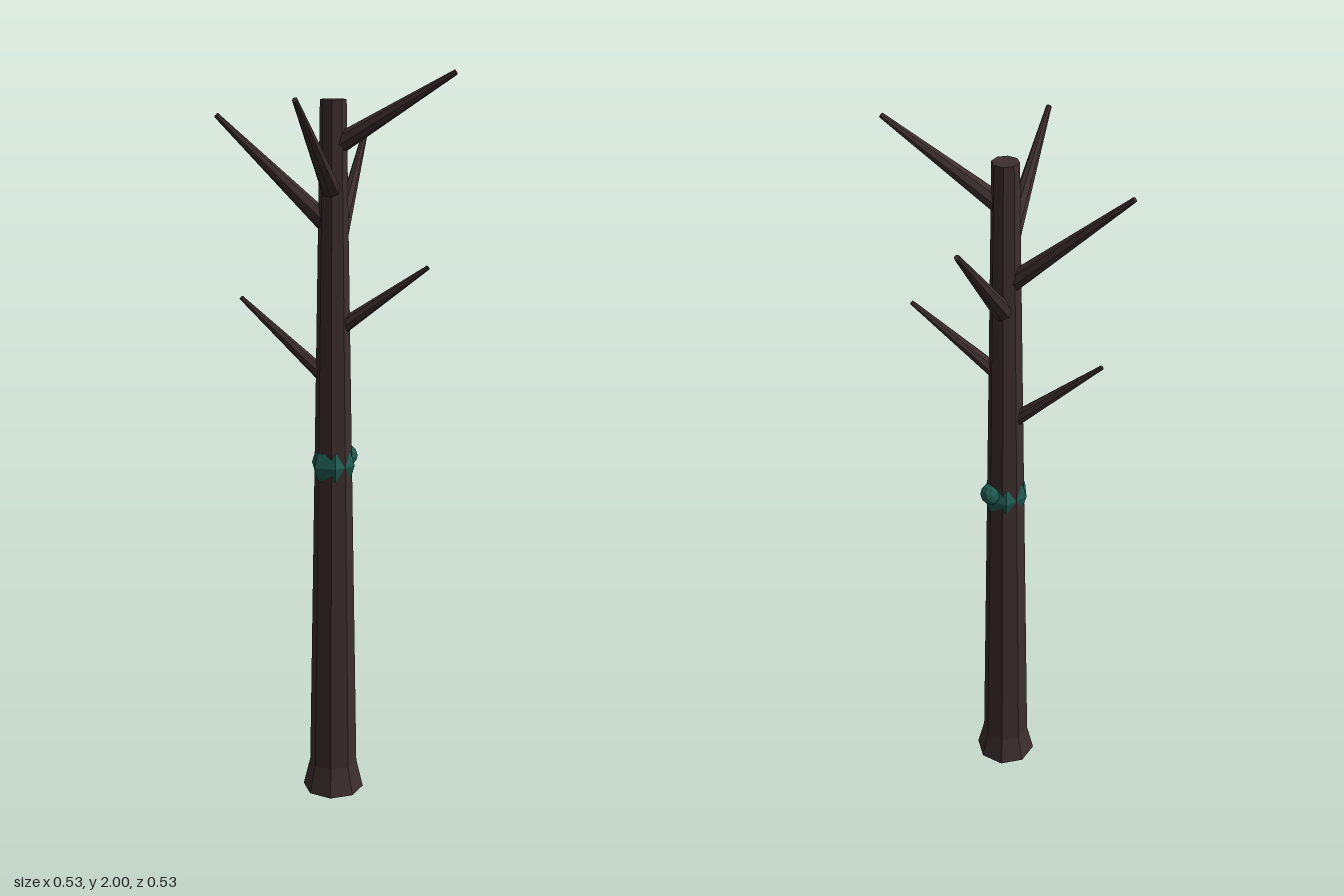
import * as THREE from 'three';

export function createModel() {
  const model = new THREE.Group();
  model.name = 'bareTree';
  const bark = new THREE.MeshStandardMaterial({ color: 0x3d2e2e, flatShading: true });
  bark.name = 'darkBark';
  const cloth = new THREE.MeshStandardMaterial({ color: 0x1f5c50, flatShading: true });
  cloth.name = 'tealCloth';

  const add = (geometry, material, name) => {
    const mesh = new THREE.Mesh(geometry, material);
    mesh.name = name;
    model.add(mesh);
    return mesh;
  };

  // Octagonal trunk with a flared foot
  const profile = [[0, 0], [0.085, 0], [0.066, 0.08], [0.034, 1.92], [0, 1.92]];
  add(new THREE.LatheGeometry(profile.map(([r, y]) => new THREE.Vector2(r, y)), 8), bark, 'trunk');

  // Tapered branches: height on the trunk axis, tip, base radius, tip radius
  const branches = [
    [1.80, [0.175, 1.99, 0.262], 0.027, 0.007],
    [1.68, [-0.262, 1.935, 0.177], 0.027, 0.007],
    [1.59, [-0.177, 1.875, -0.262], 0.027, 0.007],
    [1.51, [0.262, 1.825, -0.177], 0.027, 0.007],
    [1.32, [0.148, 1.503, 0.203], 0.022, 0.006],
    [1.18, [-0.15, 1.403, -0.203], 0.022, 0.006],
  ];
  for (const [y, tip, baseRadius, tipRadius] of branches) {
    const end = new THREE.Vector3(...tip);
    const start = new THREE.Vector3(0, y, 0);
    const direction = end.clone().sub(start);
    const branch = add(
      new THREE.CylinderGeometry(tipRadius, baseRadius, direction.length(), 8), bark, 'branch');
    branch.position.copy(start).add(end).multiplyScalar(0.5);
    branch.quaternion.setFromUnitVectors(new THREE.Vector3(0, 1, 0), direction.normalize());
  }

  // Cloth band tied round the trunk, with a knot on its left side
  const band = add(
    new THREE.TorusGeometry(0.042, 0.024, 6, 6).rotateX(Math.PI / 2).scale(1, 1.8, 0.88),
    cloth, 'clothBand');
  band.position.y = 0.96;
  const knot = add(new THREE.IcosahedronGeometry(0.03, 1), cloth, 'clothKnot');
  knot.position.set(0.047, 0.975, 0);

  return model;
}
